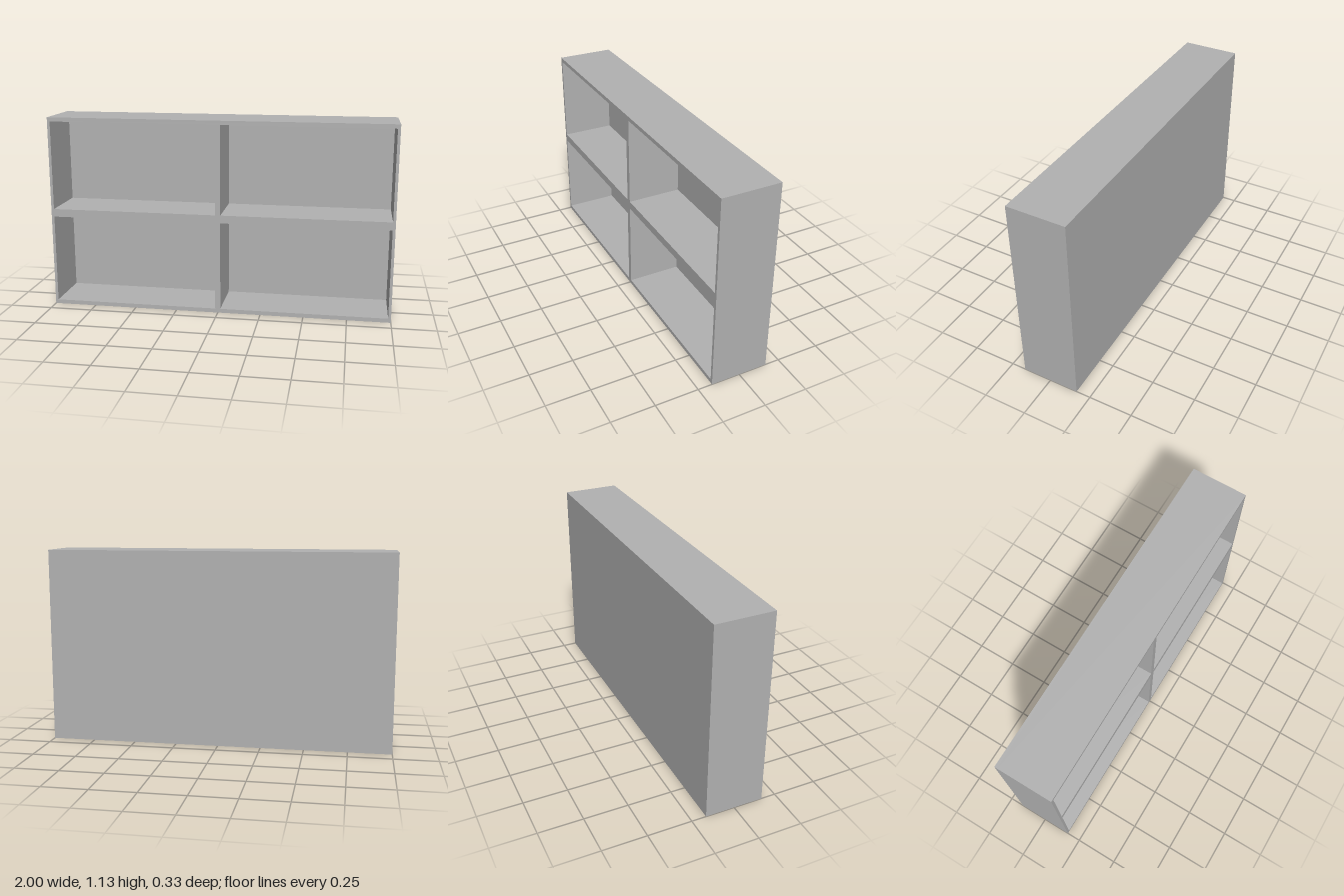
import * as THREE from 'three';

const W = 2, H = 1.132, D = 0.334;
const BACK = 0.017; // back panel thickness

// Rectangle traced on a Shape or Path
function rect(path, x0, y0, x1, y1) {
  path.moveTo(x0, y0);
  path.lineTo(x1, y0);
  path.lineTo(x1, y1);
  path.lineTo(x0, y1);
  path.closePath();
  return path;
}

export function createModel() {
  const model = new THREE.Group();
  model.name = 'wallShelf';
  const grey = new THREE.MeshStandardMaterial({ color: 0xb2b2b2 });
  grey.name = 'grey';

  // Frame with centre divider and middle shelf: one slab with four openings
  const outline = rect(new THREE.Shape(), -W / 2, 0, W / 2, H);
  for (const [x0, x1] of [[-0.984, -0.015], [0.015, 0.984]]) {
    for (const [y0, y1] of [[0.024, 0.543], [0.589, 1.108]]) {
      outline.holes.push(rect(new THREE.Path(), x0, y0, x1, y1));
    }
  }
  const frame = new THREE.Mesh(
    new THREE.ExtrudeGeometry(outline, { depth: D - BACK, bevelEnabled: false }), grey);
  frame.position.z = -D / 2 + BACK;
  frame.name = 'frame';

  // Closed back
  const back = new THREE.Mesh(new THREE.BoxGeometry(W, H, BACK), grey);
  back.position.set(0, H / 2, -D / 2 + BACK / 2);
  back.name = 'backPanel';

  model.add(frame, back);
  return model;
}
